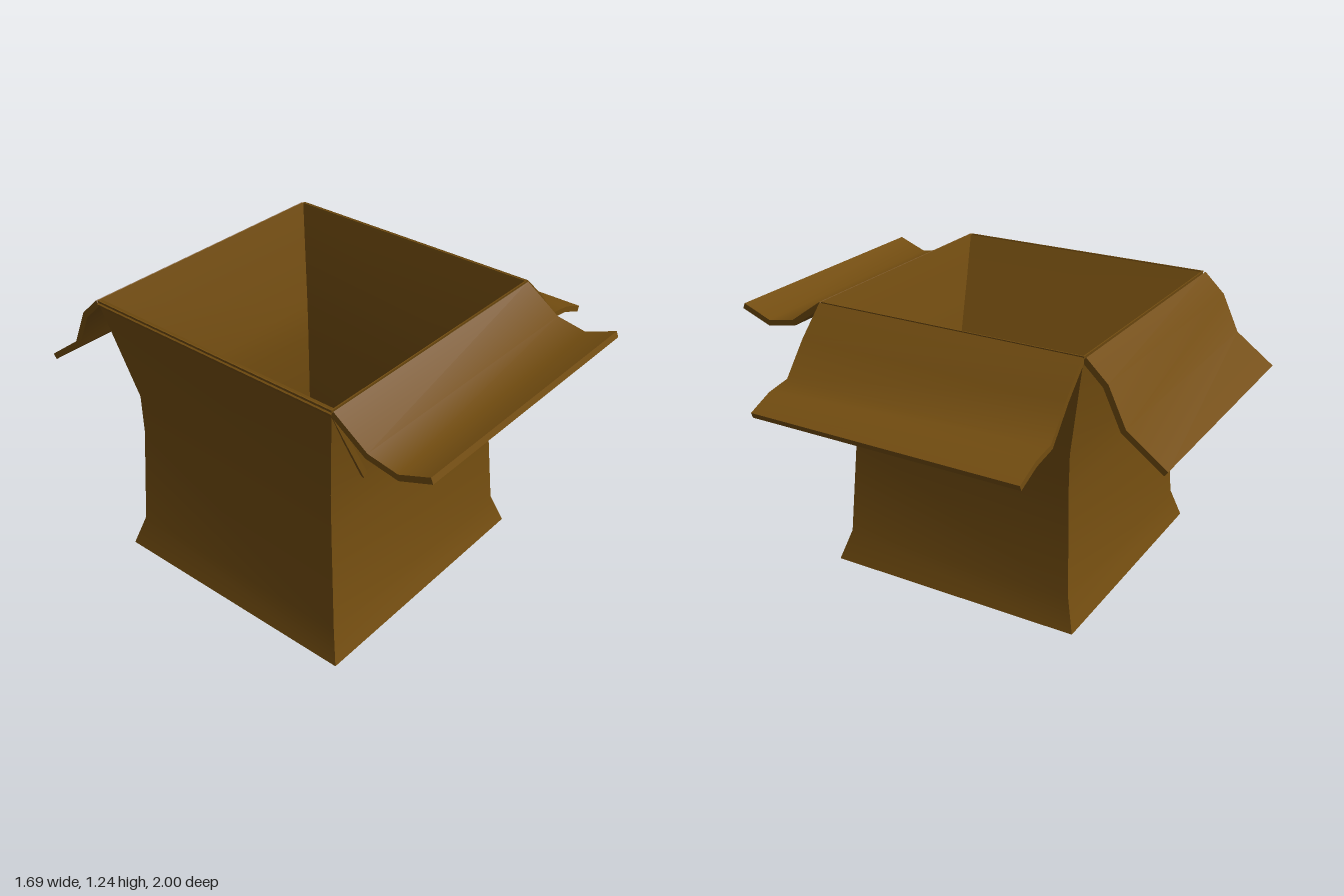
import * as THREE from 'three';
import { toCreasedNormals } from 'three/addons/utils/BufferGeometryUtils.js';

const RIM = 0.605;      // half width of the box at the rim
const THICK = 0.026;    // cardboard thickness of the flaps
const CREASE = 0.9;

// Bent strip of cardboard: a path of [outward, height] thickened and extruded across the flap
function flapGeometry(path, tipHalf = RIM) {
  const pts = path.map(([u, y]) => new THREE.Vector2(u, y));
  const upper = [], lower = [];
  pts.forEach((p, i) => {
    const before = p.clone().sub(pts[Math.max(i - 1, 0)]).normalize();
    const after = pts[Math.min(i + 1, pts.length - 1)].clone().sub(p).normalize();
    const dir = before.add(after).normalize();
    const offset = new THREE.Vector2(-dir.y, dir.x).multiplyScalar(THICK / 2);
    upper.push(p.clone().add(offset));
    lower.unshift(p.clone().sub(offset));
  });
  const geo = new THREE.ExtrudeGeometry(new THREE.Shape([...upper, ...lower]), {
    depth: RIM * 2, bevelEnabled: false,
  });
  geo.translate(0, 0, -RIM);

  // Narrow the flap towards its tip
  if (tipHalf !== RIM) {
    const pos = geo.attributes.position;
    const start = path[0][0], end = path[path.length - 1][0];
    for (let i = 0; i < pos.count; i++) {
      const t = THREE.MathUtils.clamp((pos.getX(i) - start) / (end - start), 0, 1);
      pos.setZ(i, Math.sign(pos.getZ(i)) * THREE.MathUtils.lerp(RIM, tipHalf, t));
    }
  }
  return toCreasedNormals(geo, CREASE);
}

export function createModel() {
  const model = new THREE.Group();
  model.name = 'openCardboardBox';
  const cardboard = new THREE.MeshStandardMaterial({ color: 0x734d10 });
  cardboard.name = 'cardboardBrown';

  const box = new THREE.Group();
  box.name = 'box';
  box.position.set(-0.24, 0, -0.035);
  model.add(box);

  const add = (name, geometry, turn = 0) => {
    const mesh = new THREE.Mesh(geometry, cardboard);
    mesh.name = name;
    mesh.rotation.y = turn;
    box.add(mesh);
  };

  // Square shell: base, outer walls up to the rim, inner walls down to the floor
  const profile = [
    [0, 0], [0.593, 0], [0.549, 0.14], [0.52, 0.6], [0.52, 0.78], [RIM, 1.238],
    [0.6, 1.238], [0.5, 0.78], [0.5, 0.6], [0.529, 0.14], [0.565, 0.02], [0, 0.02],
  ].map(([half, y]) => new THREE.Vector2(half * Math.SQRT2, y));
  add('boxShell', toCreasedNormals(new THREE.LatheGeometry(profile, 4, Math.PI / 4), CREASE));

  // Three flaps bent outwards
  add('leftFlap', flapGeometry([
    [0.605, 1.228], [0.728, 1.11], [0.845, 0.971], [0.962, 0.953], [1.076, 0.907],
  ]));
  add('frontFlap', flapGeometry([
    [0.605, 1.226], [0.757, 1.119], [0.893, 1.094], [1.03, 1.147],
  ]), -Math.PI / 2);
  add('backFlap', flapGeometry([
    [0.605, 1.226], [0.697, 1.14], [0.777, 0.975], [0.955, 0.845],
  ]), Math.PI / 2);

  // Flap folded down into the box, its edges just piercing the walls
  add('foldedInFlap', flapGeometry([[0.598, 1.23], [0.49, 1.04], [0.327, 0.765]], 0.527), Math.PI);

  return model;
}
